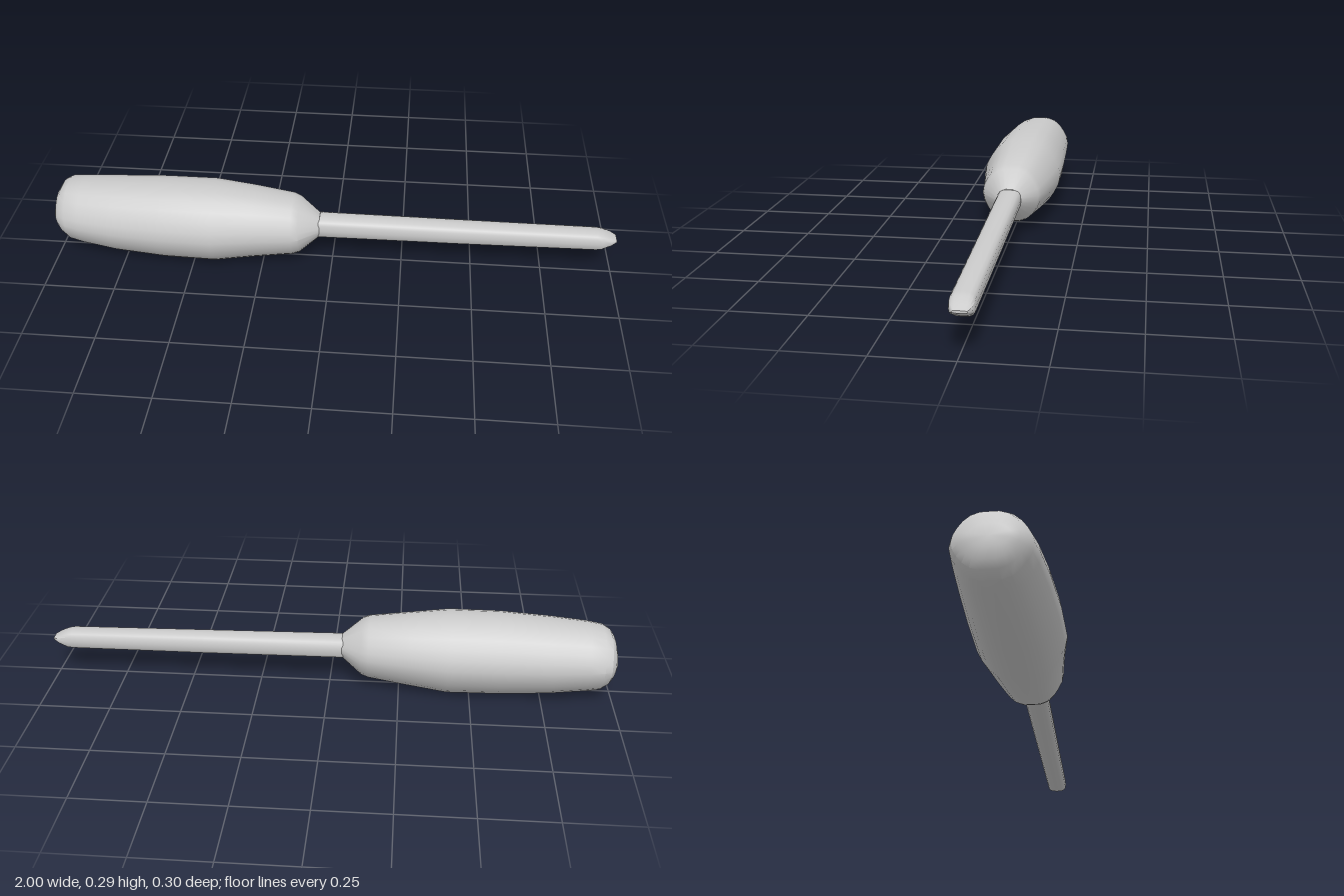
import * as THREE from 'three';
import { toCreasedNormals } from 'three/addons/utils/BufferGeometryUtils.js';

const material = new THREE.MeshStandardMaterial({ color: 0xcccccc });

// Skins rings of [x, yLow, yHigh, zLow, zHigh] along x; outline(angle) gives unit [z, y]. Both ends are capped.
function loft(name, rings, sides, outline, crease) {
  const positions = [], index = [];
  for (const [x, y0, y1, z0, z1] of rings) {
    for (let j = 0; j < sides; j++) {
      const [u, v] = outline((j / sides) * Math.PI * 2);
      positions.push(x, (y0 + y1) / 2 + v * (y1 - y0) / 2, (z0 + z1) / 2 + u * (z1 - z0) / 2);
    }
  }
  const last = rings.length - 1;
  for (const i of [0, last]) {
    const [x, y0, y1, z0, z1] = rings[i];
    positions.push(x, (y0 + y1) / 2, (z0 + z1) / 2);
  }
  const startCentre = rings.length * sides, endCentre = startCentre + 1;
  for (let j = 0; j < sides; j++) {
    const k = (j + 1) % sides;
    for (let i = 0; i < last; i++) {
      const a = i * sides, b = a + sides;
      index.push(a + j, b + j, a + k, b + j, b + k, a + k);
    }
    index.push(startCentre, j, k, endCentre, last * sides + k, last * sides + j);
  }
  const geometry = new THREE.BufferGeometry();
  geometry.setAttribute('position', new THREE.Float32BufferAttribute(positions, 3));
  geometry.setIndex(index);
  const mesh = new THREE.Mesh(toCreasedNormals(geometry, crease), material);
  mesh.name = name;
  return mesh;
}

// Softly six-cornered grip section
const gripOutline = (t) => {
  const r = 1 + 0.03 * (Math.cos(6 * t) - 1) / 2;
  const lift = 1 + 0.05 * Math.abs(Math.sin(t)) ** 2;
  return [r * Math.cos(t), r * lift * Math.sin(t)].map((c) => THREE.MathUtils.clamp(c, -1, 1));
};

// Rounded-square shaft section
const shaftOutline = (t) => [Math.cos(t), Math.sin(t)].map((c) => Math.sign(c) * Math.abs(c) ** 0.65);

export function createModel() {
  const group = new THREE.Group();
  group.name = 'screwdriver';

  // Handle: rounded butt, swollen grip, bevelled shoulder
  group.add(loft('handle', [
    [-1.0, 0.12, 0.195, -0.08, 0.045],
    [-0.99, 0.088, 0.23, -0.108, 0.068],
    [-0.975, 0.064, 0.252, -0.127, 0.087],
    [-0.95, 0.045, 0.266, -0.137, 0.103],
    [-0.9, 0.035, 0.272, -0.14, 0.115],
    [-0.78, 0.018, 0.28, -0.144, 0.132],
    [-0.6, 0.006, 0.289, -0.149, 0.147],
    [-0.42, 0.003, 0.289, -0.15, 0.15],
    [-0.28, 0.022, 0.274, -0.13, 0.13],
    [-0.14, 0.041, 0.257, -0.106, 0.114],
    [-0.115, 0.05, 0.247, -0.097, 0.106],
    [-0.045, 0.108, 0.19, -0.042, 0.048],
  ], 24, gripOutline, 0.5));

  // Shaft, tapering slightly to a wedge-shaped tip
  group.add(loft('shaft', [
    [-0.1, 0.11, 0.188, -0.04, 0.046],
    [0.45, 0.108, 0.183, -0.042, 0.039],
    [0.93, 0.11, 0.179, -0.044, 0.033],
    [0.95, 0.113, 0.175, -0.044, 0.032],
    [0.98, 0.129, 0.162, -0.041, 0.026],
    [1.0, 0.143, 0.151, -0.03, 0.014],
  ], 16, shaftOutline, 0.7));

  return group;
}
